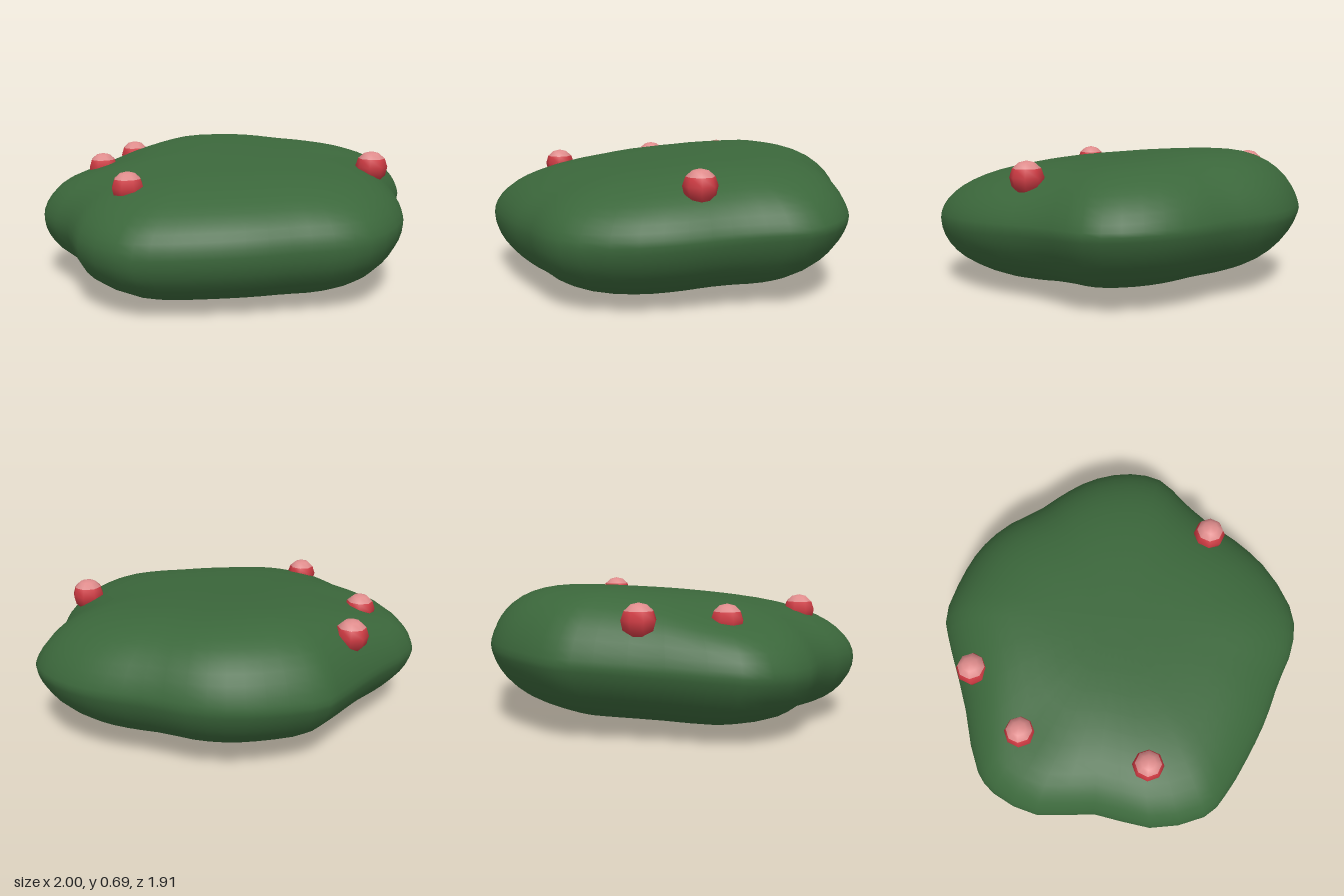
import * as THREE from 'three';
import { mergeVertices } from 'three/addons/utils/BufferGeometryUtils.js';

const leafGreen = new THREE.MeshStandardMaterial({ color: 0x3b673b });
leafGreen.name = 'leaf green';
const berryRed = new THREE.MeshStandardMaterial({ color: 0xcc3a42 });
berryRed.name = 'berry red';
const berryPink = new THREE.MeshStandardMaterial({ color: 0xdf8c8c });
berryPink.name = 'berry pink';

// Widest outline of the bush seen from above, as [x, z]
const outline = [
  [-0.95, -0.08], [-1, 0.22], [-0.92, 0.5], [-0.8, 0.6], [-0.6, 0.71], [-0.4, 0.8],
  [-0.2, 0.865], [0, 0.94], [0.19, 0.945], [0.44, 0.81], [0.6, 0.64], [0.72, 0.46],
  [0.83, 0.33], [0.97, 0.18], [1, 0], [0.95, -0.2], [0.85, -0.36], [0.72, -0.51],
  [0.59, -0.7], [0.45, -0.82], [0.28, -0.9], [0.05, -0.96], [-0.1, -0.92],
  [-0.4, -0.81], [-0.76, -0.7], [-0.87, -0.61], [-0.97, -0.38],
];

// Smooth local bump of height 1 around (cx, cz)
const bump = (x, z, cx, cz) => Math.exp(-((x - cx) ** 2 + (z - cz) ** 2) / 0.06);

// Rounded, slightly tilted cushion swept from the outline
function bushGeometry() {
  const rim = new THREE.CatmullRomCurve3(outline.map(([x, z]) => new THREE.Vector3(x, 0, z)), true);
  const geo = new THREE.SphereGeometry(1, 56, 28);
  const pos = geo.attributes.position;
  const columns = 57;
  for (let i = 0; i < pos.count; i++) {
    const u = (i % columns) / 56;
    const c = pos.getY(i);
    const edge = rim.getPoint(u % 1);
    // Flat in the middle, with more pointed right and back edges
    const point = Math.max(0, edge.x, -edge.z);
    const spread = Math.pow(Math.max(0, 1 - c * c), 0.4);
    const lift = Math.pow(Math.max(0, 1 - Math.pow(spread, 4 + point)), 0.5 + 0.2 * point);
    const x = edge.x * spread;
    const z = edge.z * spread;
    const middle = 0.35 + 0.04 * x - 0.025 * z;
    const top = 0.657 + 0.035 * x - 0.03 * x * x - 0.08 * z - 0.06 * bump(x, z, -0.62, -0.5);
    const bottom = 0.032 + 0.035 * x - 0.03 * z - 0.03 * bump(x, z, 0.08, 0.38);
    pos.setXYZ(i, x, middle + ((c > 0 ? top : bottom) - middle) * lift, z);
  }
  geo.deleteAttribute('uv');
  geo.deleteAttribute('normal');
  const merged = mergeVertices(geo, 1e-4);
  merged.computeVertexNormals();
  return merged;
}

// Berry: red body with a pale cap on top
function berry(x, y, z, r) {
  const group = new THREE.Group();
  group.name = 'berry';
  const capAngle = 0.97;
  const addPart = (name, start, length, rows, material) => {
    const geo = new THREE.SphereGeometry(r, 8, rows, 0, Math.PI * 2, start, length);
    const mesh = new THREE.Mesh(geo, material);
    mesh.name = name;
    group.add(mesh);
  };
  addPart('berryCap', 0, capAngle, 2, berryPink);
  addPart('berryBody', capAngle, Math.PI - capAngle, 4, berryRed);
  group.position.set(x, y, z);
  return group;
}

export function createModel() {
  const model = new THREE.Group();
  model.name = 'berryBush';

  const bush = new THREE.Mesh(bushGeometry(), leafGreen);
  bush.name = 'bush';
  model.add(bush);

  // Four berries on top, one almost buried in the underside
  const berries = [
    [0.54, 0.59, 0.45, 0.084],
    [-0.73, 0.557, 0.18, 0.08],
    [-0.6, 0.557, -0.465, 0.08],
    [-0.29, 0.567, -0.74, 0.084],
    [0.44, 0.18, -0.43, 0.08],
  ];
  for (const b of berries) model.add(berry(...b));
  return model;
}
